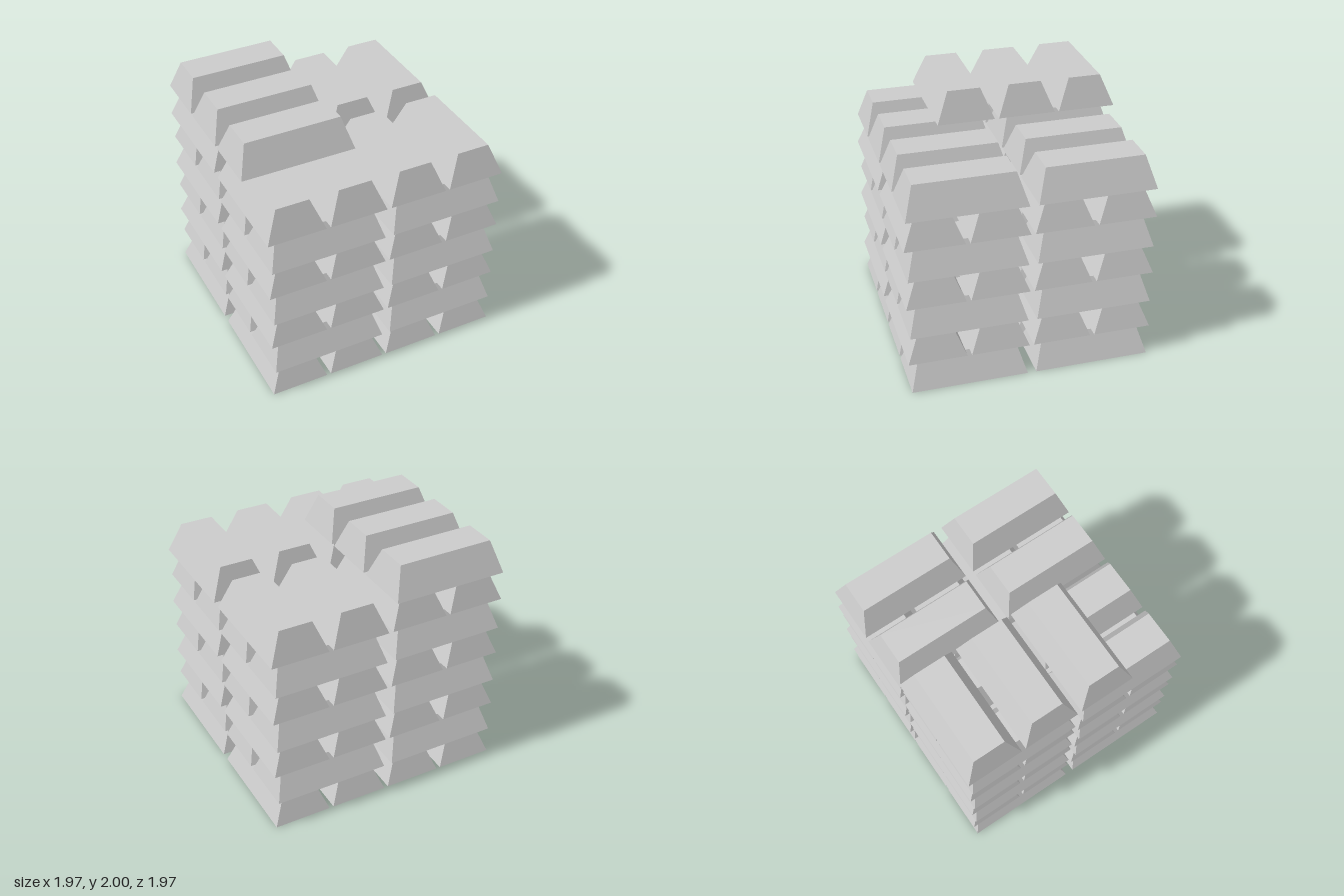
import * as THREE from 'three';

const H = 0.25; // bar height, also the layer spacing

// Ingot: a box along z whose upper corners are pulled inwards
function barGeometry() {
  const geo = new THREE.BoxGeometry(0.465, H, 0.93);
  const p = geo.attributes.position;
  for (let i = 0; i < p.count; i++) {
    if (p.getY(i) > 0) {
      p.setX(i, Math.sign(p.getX(i)) * 0.1325);
      p.setZ(i, Math.sign(p.getZ(i)) * 0.39);
    }
  }
  geo.translate(0, H / 2, 0);
  geo.computeVertexNormals();
  return geo;
}

export function createModel() {
  const model = new THREE.Group();
  model.name = 'ingotPile';
  const geo = barGeometry();
  const mat = new THREE.MeshStandardMaterial({ color: 0xcccccc, flatShading: true });

  // One stack: pairs of bars, each layer turned a quarter from the one below
  function addStack(name, x, z, barCount) {
    const stack = new THREE.Group();
    stack.name = name;
    stack.position.set(x, 0, z);
    for (let i = 0; i < barCount; i++) {
      const layer = Math.floor(i / 2);
      const offset = i % 2 ? 0.25 : -0.25;
      const bar = new THREE.Mesh(geo, mat);
      bar.name = `ingot${i + 1}`;
      if (layer % 2) {
        bar.rotation.y = Math.PI / 2;
        bar.position.set(0, layer * H, offset);
      } else {
        bar.position.set(offset, layer * H, 0);
      }
      stack.add(bar);
    }
    model.add(stack);
  }

  // Four stacks; the two on the right rise into an eighth layer
  addStack('backRightStack', -0.5, -0.5, 16);
  addStack('frontRightStack', -0.5, 0.5, 15);
  addStack('backLeftStack', 0.5, -0.5, 14);
  addStack('frontLeftStack', 0.5, 0.5, 14);
  return model;
}
